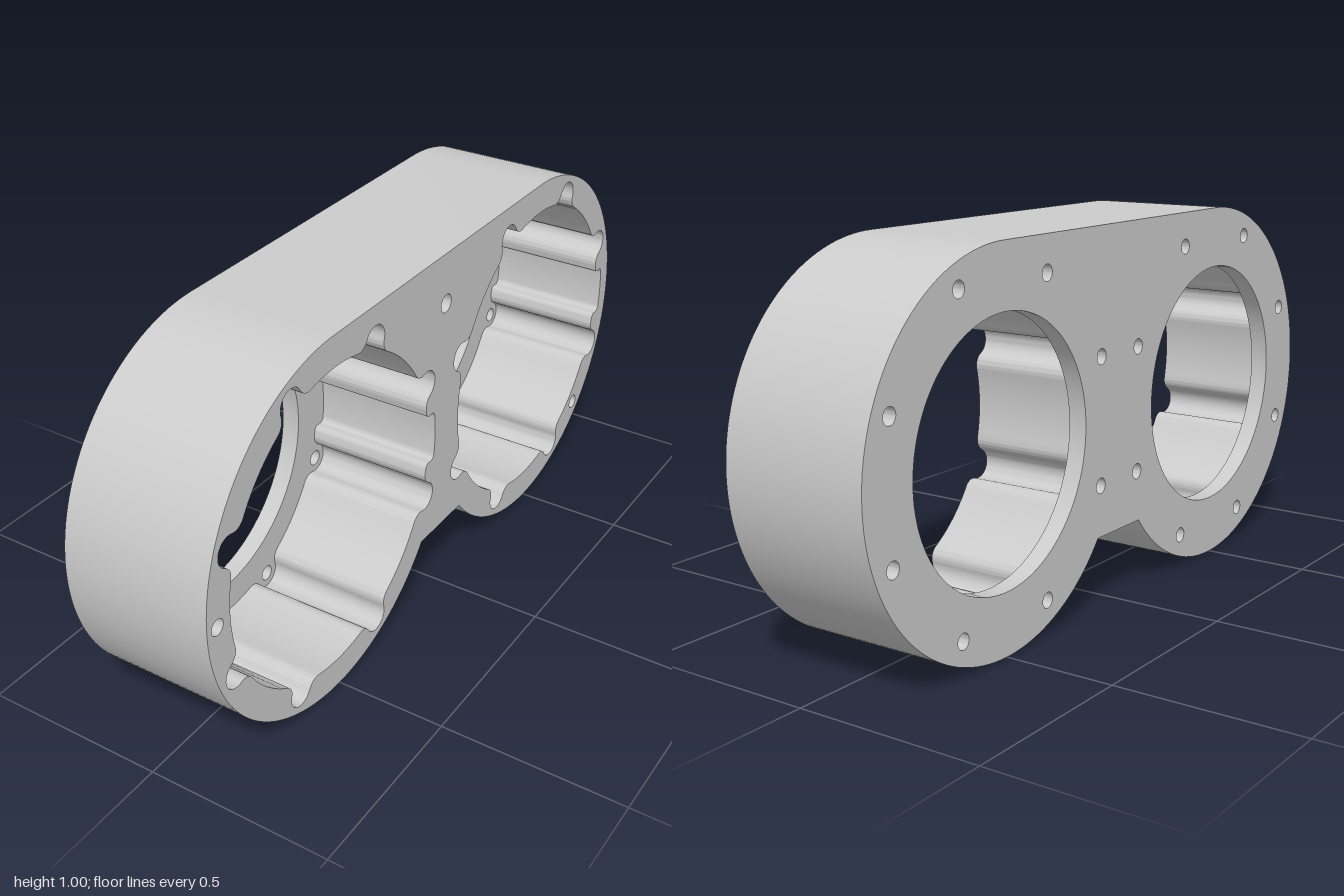
import * as THREE from 'three';
import { toCreasedNormals } from 'three/addons/utils/BufferGeometryUtils.js';

const BACK = -0.2, FLOOR = -0.15, FRONT = 0.2, PIN_END = 0.1;
const R = 0.5025, CX = 0.4975, CY = 0.5025;       // outer lobes
const BORE = 0.338, POCKET = 0.42, BOLT_RING = 0.443;
const material = new THREE.MeshStandardMaterial({ color: 0xcccccc });

const polar = (r, a) => new THREE.Vector2(r * Math.cos(a), r * Math.sin(a));

// Counter-clockwise points of a closed path, without repeats
function outlinePoints(path, divisions) {
  const pts = path.getPoints(divisions);
  return pts.filter((p, i) => p.distanceTo(pts[(i + 1) % pts.length]) > 1e-4);
}

function circle(x, y, r, divisions) {
  return outlinePoints(new THREE.Path().absarc(x, y, r, 0, Math.PI * 2, false), divisions);
}

const shift = (pts, x, y) => pts.map(p => new THREE.Vector2(p.x + x, p.y + y));

// Two round lobes, flat top, short flat bridge below
function bodyOutline() {
  const a = Math.asin(0.308 / R);
  const path = new THREE.Path();
  path.absarc(-CX, CY, R, Math.PI / 2, Math.PI * 2 - a, false);
  path.absarc(CX, CY, R, Math.PI + a, Math.PI * 2.5, false);
  return outlinePoints(path, 48);
}

// Round pocket with a shallow notch and eight filleted bolt recesses
function pocketOutline() {
  const lobe = 0.04, fillet = 0.035, notch = 0.456, rf = POCKET + fillet;
  const A = Math.acos((BOLT_RING ** 2 + rf ** 2 - (lobe + fillet) ** 2) / (2 * BOLT_RING * rf));
  const path = new THREE.Path();
  const bend = (c, p) => path.quadraticCurveTo(c.x, c.y, p.x, p.y);
  const start = polar(POCKET, -0.2);
  path.moveTo(start.x, start.y);
  bend(polar(POCKET, -0.165), polar(0.438, -0.165));
  bend(polar(notch, -0.162), polar(notch, -0.13));
  path.absarc(0, 0, notch, -0.13, 0.13, false);
  bend(polar(notch, 0.162), polar(0.438, 0.165));
  bend(polar(POCKET, 0.165), polar(POCKET, 0.2));
  let from = 0.2;
  for (let k = 0; k < 8; k++) {
    const t = (k + 0.5) * Math.PI / 4;
    const L = polar(BOLT_RING, t), c1 = polar(rf, t - A), c2 = polar(rf, t + A);
    const p1 = Math.atan2(L.y - c1.y, L.x - c1.x), p2 = Math.atan2(L.y - c2.y, L.x - c2.x);
    path.absarc(0, 0, POCKET, from, t - A, false);
    path.absarc(c1.x, c1.y, fillet, t - A + Math.PI, p1, true);
    path.absarc(L.x, L.y, lobe, p1 + Math.PI, p2 + Math.PI, false);
    path.absarc(c2.x, c2.y, fillet, p2, t + A + Math.PI, true);
    from = t + A;
  }
  path.absarc(0, 0, POCKET, from, Math.PI * 2 - 0.2, false);
  return outlinePoints(path, 7);
}

// Wall swept along a closed outline; inward walls line a hole
function wall(pts, z0, z1, inward) {
  const pos = [];
  pts.forEach((p, i) => {
    let a = p, b = pts[(i + 1) % pts.length];
    if (inward) [a, b] = [b, a];
    pos.push(a.x, a.y, z0, b.x, b.y, z0, b.x, b.y, z1, a.x, a.y, z0, b.x, b.y, z1, a.x, a.y, z1);
  });
  const g = new THREE.BufferGeometry();
  g.setAttribute('position', new THREE.Float32BufferAttribute(pos, 3));
  return toCreasedNormals(g, 0.5);
}

// Flat face with holes
function cap(pts, holes, z, flip) {
  const shape = new THREE.Shape(pts);
  shape.holes = holes.map(h => new THREE.Path(h));
  const g = new THREE.ShapeGeometry(shape);
  if (flip) g.index.array.reverse();
  g.computeVertexNormals();
  return g.translate(0, 0, z);
}

export function createModel() {
  const model = new THREE.Group();
  model.name = 'twinBoreHousing';
  const housing = new THREE.Group();
  housing.name = 'housing';
  housing.rotation.y = Math.PI / 2;   // profile plane faces +x
  model.add(housing);
  const add = (name, geometry) => {
    const mesh = new THREE.Mesh(geometry, material);
    mesh.name = name;
    housing.add(mesh);
  };

  const body = bodyOutline();
  const pocket = pocketOutline();
  const pockets = [], backHoles = [];

  // Pockets, bores and bolt holes of both lobes
  for (const x of [-CX, CX]) {
    const rim = shift(pocket, x, CY);
    const bore = circle(x, CY, BORE, 48);
    const bolts = [];
    for (let k = 0; k < 8; k++) {
      const c = polar(BOLT_RING, (k + 0.5) * Math.PI / 4);
      bolts.push(circle(x + c.x, CY + c.y, 0.021, 12));
    }
    pockets.push(rim);
    backHoles.push(bore, ...bolts);
    add('pocketWall', wall(rim, FLOOR, FRONT, true));
    add('pocketFloor', cap(rim, [bore, ...bolts], FLOOR, false));
    add('bore', wall(bore, BACK, FLOOR, true));
    bolts.forEach(b => add('boltHole', wall(b, BACK, FLOOR, true)));
  }

  // Blind pin holes in the open face
  const pins = [[0, 0.866, 0.025], [-0.963, CY, 0.021], [0.813, 0.168, 0.021]]
    .map(([x, y, r]) => circle(x, y, r, 12));
  pins.forEach(p => {
    add('pinHole', wall(p, PIN_END, FRONT, true));
    add('pinHoleEnd', cap(p, [], PIN_END, false));
  });

  // Outer shell
  add('outerWall', wall(body, BACK, FRONT, false));
  add('openFace', cap(body, [...pockets, ...pins], FRONT, false));
  add('plateFace', cap(body, backHoles, BACK, true));
  return model;
}
